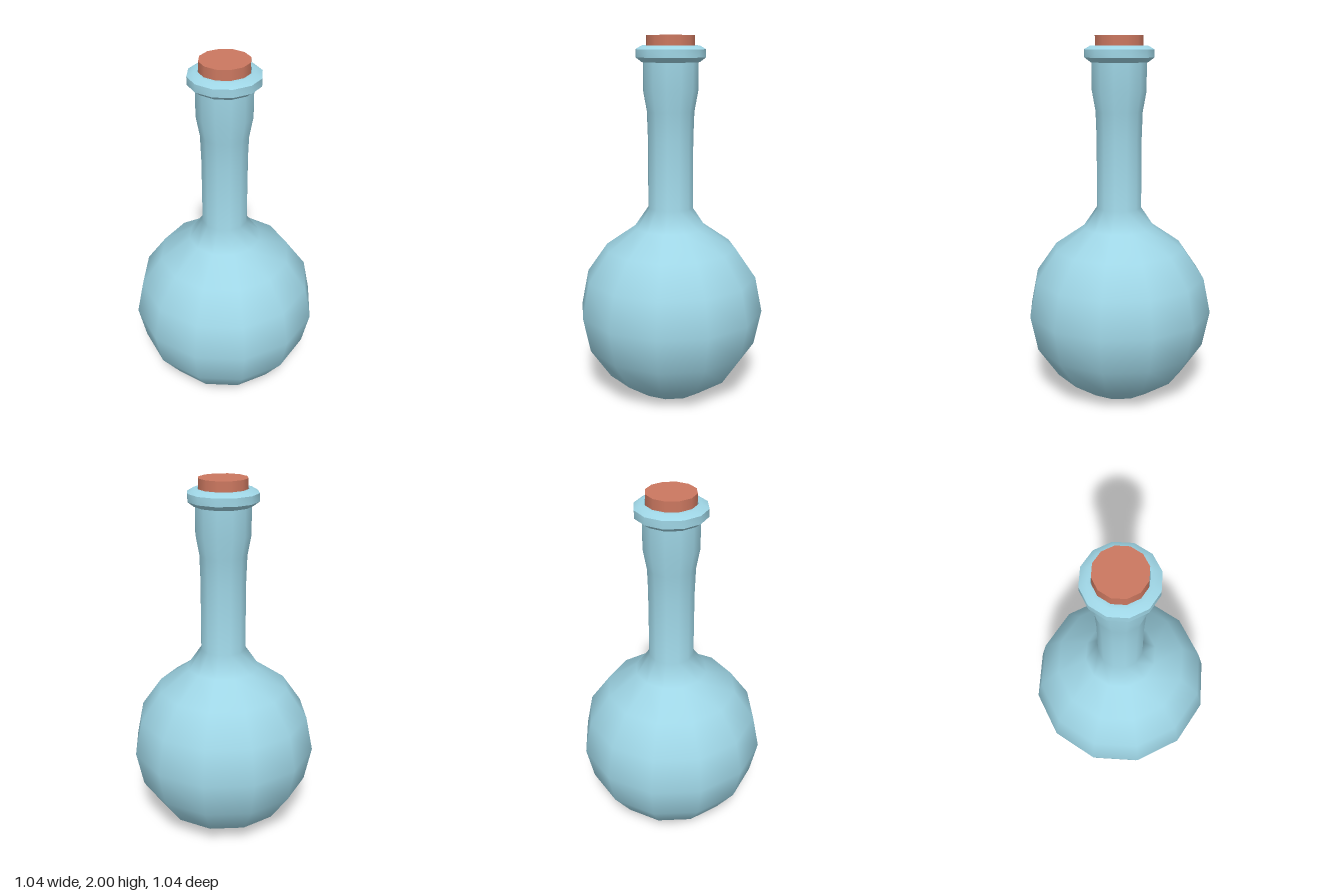
import * as THREE from 'three';
import { toCreasedNormals } from 'three/addons/utils/BufferGeometryUtils.js';

const SIDES = 12;

function lathe(profile) {
  return new THREE.LatheGeometry(profile.map(([r, y]) => new THREE.Vector2(r, y)), SIDES);
}

export function createModel() {
  const group = new THREE.Group();
  const glass = new THREE.MeshStandardMaterial({ color: 0x9fd6e6, side: THREE.DoubleSide });
  const stopper = new THREE.MeshStandardMaterial({ color: 0xcc7860 });

  const add = (name, geometry, material) => {
    const mesh = new THREE.Mesh(geometry, material);
    mesh.name = name;
    group.add(mesh);
    return mesh;
  };

  // Round bulb with a flat base, running smoothly into the long neck
  add('flaskBody', lathe([
    [0, 0], [0.2, 0], [0.365, 0.115], [0.48, 0.285], [0.52, 0.483], [0.48, 0.68],
    [0.365, 0.845], [0.2, 0.96], [0.125, 1.07], [0.125, 1.45], [0.13, 1.6],
    [0.15, 1.71], [0.15, 1.87],
  ]), glass);

  // Bevelled lip around the mouth, with an inner wall
  add('lip', toCreasedNormals(lathe([
    [0.15, 1.86], [0.157, 1.86], [0.19, 1.885], [0.19, 1.927],
    [0.155, 1.947], [0.135, 1.947], [0.135, 1.86],
  ]), 0.6), glass);

  // Cork plugged into the mouth
  const cork = add('cork', new THREE.CylinderGeometry(0.131, 0.131, 0.15, SIDES), stopper);
  cork.position.y = 1.925;

  return group;
}
